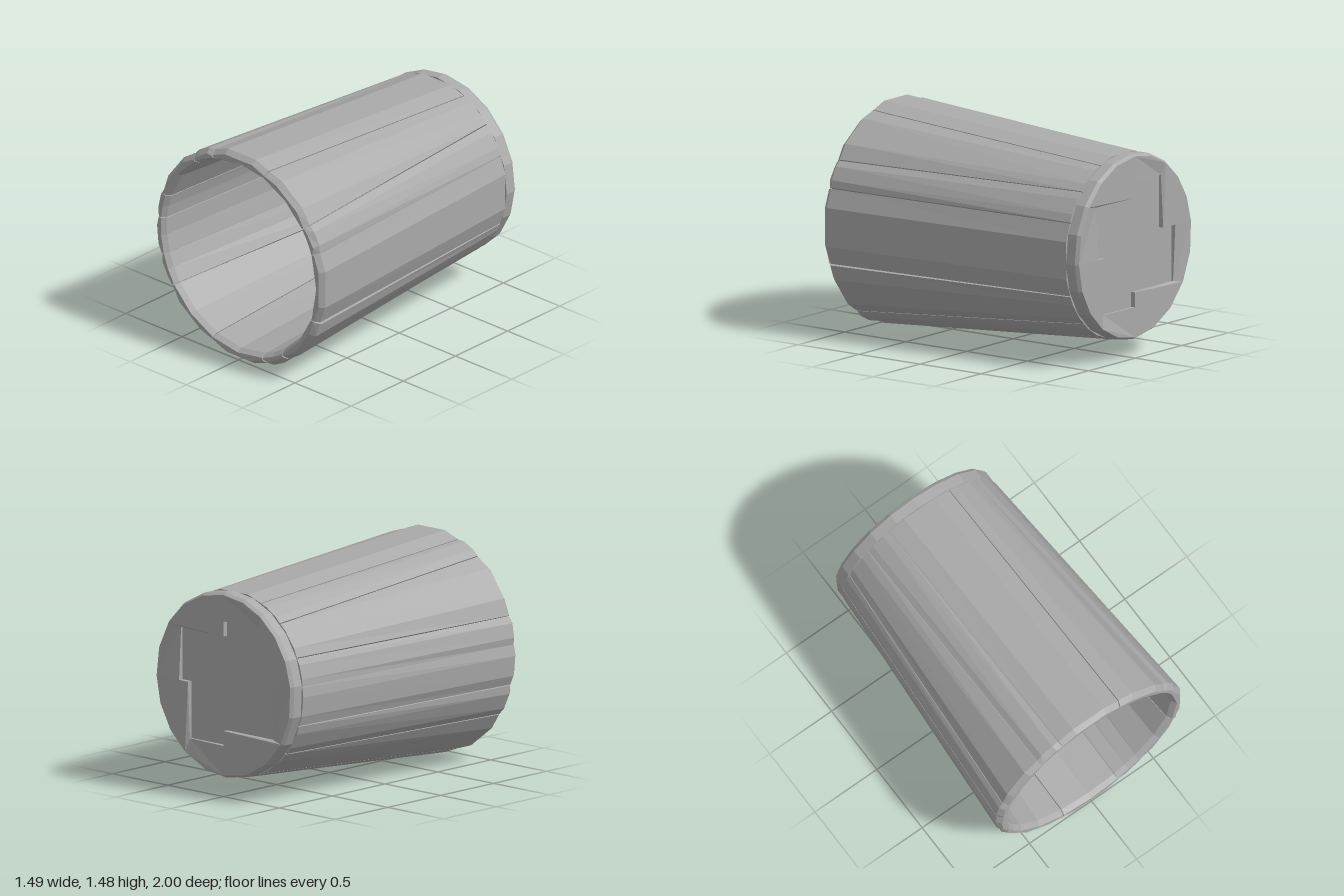
import * as THREE from 'three';

const RAD = Math.PI / 180;
const AXIS_Y = 0.744; // height of the bucket's lying axis

// Stave seams in degrees: [angle at the mouth, angle at the base]
const SEAMS = [
  [-20, -24], [20, 23], [35, 44], [71, 67], [109, 113], [124, 132], [160, 156],
  [175, 174], [196, 199], [214, 221], [251, 247], [288, 292], [304, 312], [340, 336],
];

// Lengthwise sections of a stave: z, inner radius, outer radius, blend from mouth to base
const SECTIONS = [
  [1, 0.69, 0.722, 0],
  [0.965, 0.668, 0.75, 0.02],
  [-0.9, 0.557, 0.621, 1],
];

// Solid joined from closed cross-section loops, listed front to back
function loft(rings, hub) {
  const n = rings[0].length;
  const index = [];
  for (let r = 0; r < rings.length - 1; r++) {
    for (let i = 0; i < n; i++) {
      const j = (i + 1) % n;
      const a = r * n + i, b = r * n + j, c = a + n, d = b + n;
      index.push(a, c, b, b, c, d);
    }
  }
  const last = (rings.length - 1) * n;
  for (let k = 1; k < n - 1; k++) {
    const i = (hub + k) % n, j = (hub + k + 1) % n;
    index.push(hub, i, j, last + hub, last + j, last + i);
  }
  const geo = new THREE.BufferGeometry();
  geo.setAttribute('position', new THREE.Float32BufferAttribute(rings.flat(2), 3));
  geo.setIndex(index);
  const flat = geo.toNonIndexed();
  flat.computeVertexNormals();
  return flat;
}

// One stave: bulged outside with eased edges, two flats inside
function staveGeometry(from, to, jitter) {
  const gap = 0.25;
  const rings = SECTIONS.map(([z, rIn, rOut, t], s) => {
    const a0 = THREE.MathUtils.lerp(from[0], from[1], t) + gap;
    const a1 = THREE.MathUtils.lerp(to[0], to[1], t) - gap;
    const point = (f, r) => {
      const a = THREE.MathUtils.lerp(a0, a1, f) * RAD;
      return [Math.cos(a) * r, Math.sin(a) * r, z];
    };
    const ease = s === 2 ? 0.004 : 0.013;
    const wobble = s === 0 ? jitter : 0;
    return [
      point(0, rOut - ease - wobble), point(0.25, rOut), point(0.75, rOut - wobble), point(1, rOut - ease),
      point(1, rIn), point(0.5, rIn), point(0, rIn),
    ];
  });
  return loft(rings, 5);
}

// Base boards: arc start, arc end, then the stepped inner edge
const BOARDS = [
  [-2.3, 90, [[0, 0.326], [0.4, 0.326], [0.4, -0.024]]],
  [90, 172.9, [[-0.3, 0.076], [-0.3, 0.426], [0, 0.426]]],
  [172.9, 270, [[0, -0.304], [-0.43, -0.304], [-0.43, 0.076]]],
  [270, 357.7, [[0.32, -0.024], [0.32, -0.404], [0, -0.404]]],
];

function boardGeometry(start, end, inner) {
  const pts = [];
  for (let i = 0; i <= 5; i++) {
    const a = THREE.MathUtils.lerp(start, end, i / 5) * RAD;
    pts.push(new THREE.Vector2(Math.cos(a) * 0.618, Math.sin(a) * 0.618));
  }
  inner.forEach(([x, y]) => pts.push(new THREE.Vector2(x, y)));
  const geo = new THREE.ExtrudeGeometry(new THREE.Shape(pts), { depth: 0.095, steps: 4, bevelEnabled: false });
  geo.translate(0, 0, -1);
  const p = geo.attributes.position;
  for (let i = 0; i < p.count; i++) {
    const x = p.getX(i), y = p.getY(i), z = p.getZ(i);
    if (Math.hypot(x, y) > 0.6) {
      // ease the rim toward the back
      const k = z < -0.99 ? 0.975 : 1;
      p.setXY(i, x * k, y * k);
    } else if (Math.hypot(x - inner[1][0], y - inner[1][1]) < 0.01) {
      // sink the inner corner a little so the board slopes
      p.setZ(i, -0.9525 + (z + 0.9525) * 0.6);
    }
  }
  geo.computeVertexNormals();
  return geo;
}

export function createModel() {
  const model = new THREE.Group();
  model.name = 'bucket';
  const grey = new THREE.MeshStandardMaterial({ color: 0xaaaaaa, flatShading: true });
  grey.name = 'plain grey';

  const body = new THREE.Group();
  body.name = 'body';
  body.position.y = AXIS_Y;
  model.add(body);

  const add = (geo, name) => {
    const mesh = new THREE.Mesh(geo, grey);
    mesh.name = name;
    body.add(mesh);
    return mesh;
  };

  // Wall of tapered staves
  SEAMS.forEach((from, i) => {
    const next = SEAMS[(i + 1) % SEAMS.length];
    const to = i === SEAMS.length - 1 ? next.map((a) => a + 360) : next;
    add(staveGeometry(from, to, ((i * 5) % 7) * 0.0015), 'stave' + (i + 1));
  });

  // Base: four stepped boards around a recessed plate
  BOARDS.forEach((b, i) => add(boardGeometry(...b), 'baseBoard' + (i + 1)));
  const plate = new THREE.CylinderGeometry(0.555, 0.555, 0.03, 16);
  plate.rotateX(Math.PI / 2);
  add(plate, 'basePlate').position.z = -0.9525;

  return model;
}
